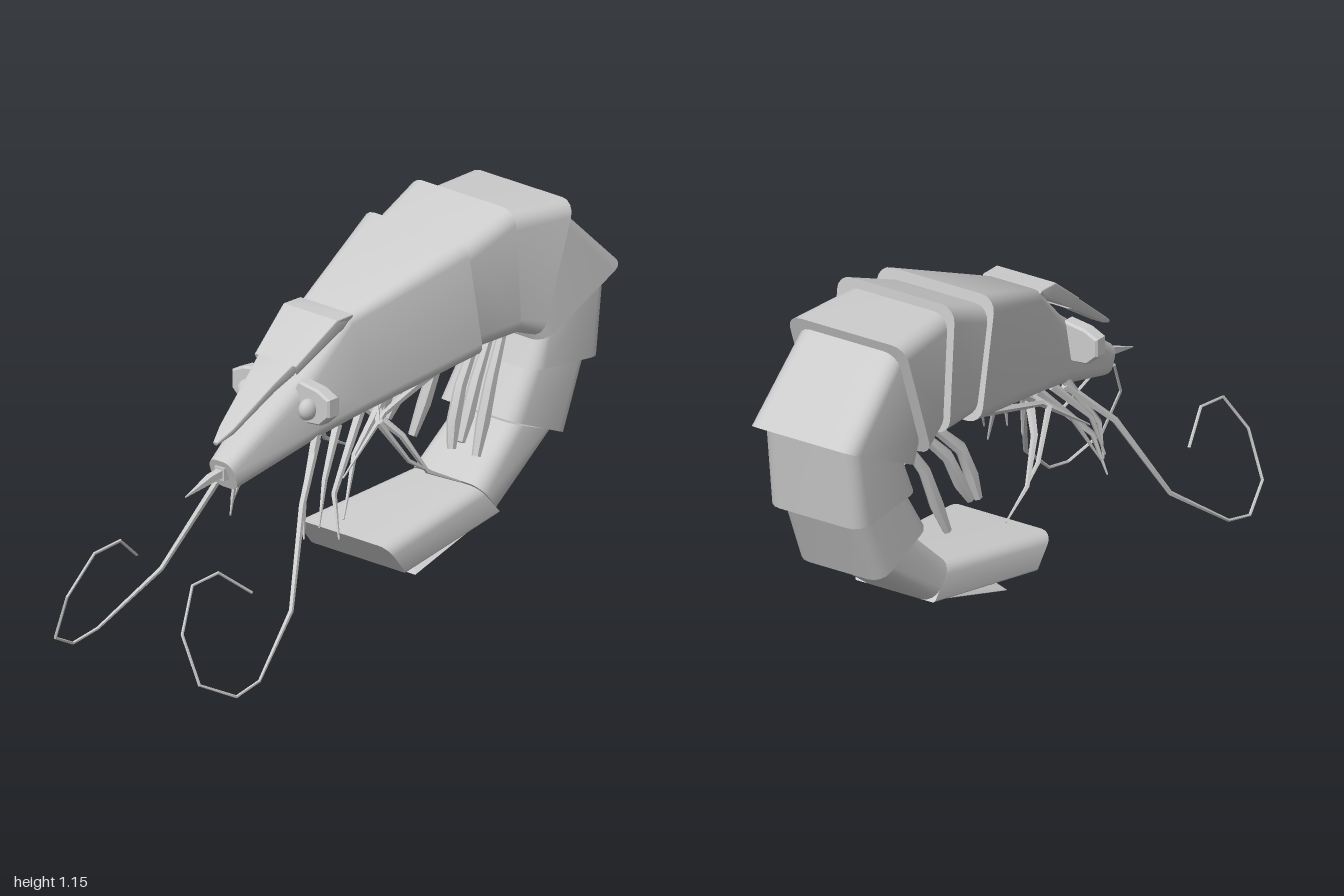
import * as THREE from 'three';
import { toCreasedNormals } from 'three/addons/utils/BufferGeometryUtils.js';

const material = new THREE.MeshStandardMaterial({ color: 0xcccccc, side: THREE.DoubleSide });
const V = (x, y, z) => new THREE.Vector3(x, y, z);

function addMesh(parent, name, geometry) {
  const mesh = new THREE.Mesh(geometry, material);
  mesh.name = name;
  parent.add(mesh);
  return mesh;
}

// Skin a list of equal-length rings and cap both ends.
function loft(rings, crease = 0.6) {
  const n = rings[0].length, pos = [], index = [];
  rings.forEach((r) => r.forEach((p) => pos.push(p.x, p.y, p.z)));
  for (let i = 0; i < rings.length - 1; i++) {
    for (let j = 0; j < n; j++) {
      const a = i * n + j, b = i * n + (j + 1) % n;
      index.push(a, a + n, b, b, a + n, b + n);
    }
  }
  const last = (rings.length - 1) * n;
  for (let j = 1; j < n - 1; j++) {
    index.push(0, j, j + 1, last, last + j + 1, last + j);
  }
  const g = new THREE.BufferGeometry();
  g.setAttribute('position', new THREE.Float32BufferAttribute(pos, 3));
  g.setIndex(index);
  return toCreasedNormals(g, crease);
}

// Rounded cross-section between an outer and an inner [z, y] point.
function section(outer, inner, wOut, wIn = wOut, rOut = 0.05, rIn = 0.05) {
  const h = Math.hypot(outer[0] - inner[0], outer[1] - inner[1]);
  const ring = [];
  const corners = [[1, 0, wIn, rIn], [1, 1, wOut, rOut], [-1, 1, wOut, rOut], [-1, 0, wIn, rIn]];
  corners.forEach(([sx, top, w, r], c) => {
    r = Math.min(r, h * 0.45, w * 0.9);
    for (let k = 0; k <= 4; k++) {
      const a = (c - 1 + k / 4) * Math.PI / 2;
      const x = sx * (w - r) + r * Math.cos(a);
      const s = ((top ? h - r : r) + r * Math.sin(a)) / h;
      ring.push(V(x, inner[1] + (outer[1] - inner[1]) * s, inner[0] + (outer[0] - inner[0]) * s));
    }
  });
  return ring;
}

// Tapered limb along points; each radius is a number or [sideways, fore-aft].
function limb(points, radii, sides = 5) {
  const rings = points.map((p, i) => {
    const d = points[Math.min(i + 1, points.length - 1)].clone()
      .sub(points[Math.max(i - 1, 0)]).normalize();
    const v = V(1, 0, 0).cross(d).normalize();
    const u = d.clone().cross(v);
    const [ru, rv] = [radii[i]].flat().length > 1 ? radii[i] : [radii[i], radii[i]];
    return Array.from({ length: sides }, (_, k) => {
      const a = (k + 0.5) / sides * Math.PI * 2;
      return p.clone().addScaledVector(u, ru * Math.cos(a)).addScaledVector(v, rv * Math.sin(a));
    });
  });
  return loft(rings);
}

export function createModel() {
  const model = new THREE.Group();
  model.name = 'shrimp';

  // Head shell, tapering to the snout
  addMesh(model, 'carapace', loft([
    section([0.58, 0.6], [0.545, 0.505], 0.05, 0.05, 0.035, 0.035),
    section([0.27, 0.82], [0.24, 0.6], 0.09, 0.115),
    section([0.11, 0.965], [0.1, 0.64], 0.11, 0.15, 0.03),
    section([-0.28, 1.115], [-0.355, 0.725], 0.215),
  ]));

  // Overlapping shell rings: front section then back section
  const segments = [
    [[-0.28, 1.08], [-0.355, 0.74], 0.195, [-0.49, 1.16], [-0.52, 0.75], 0.216],
    [[-0.49, 1.13], [-0.51, 0.755], 0.19, [-0.75, 1.12], [-0.61, 0.72], 0.218],
    [[-0.745, 1.09], [-0.62, 0.73], 0.185, [-0.995, 0.855], [-0.64, 0.69], 0.195],
    [[-0.955, 0.84], [-0.66, 0.7], 0.17, [-0.92, 0.57], [-0.615, 0.6], 0.175],
    [[-0.89, 0.57], [-0.63, 0.6], 0.15, [-0.79, 0.35], [-0.54, 0.455], 0.16],
    [[-0.765, 0.36], [-0.575, 0.43], 0.13, [-0.5, 0.175], [-0.41, 0.28], 0.148],
  ];
  segments.forEach(([o1, i1, w1, o2, i2, w2], i) => addMesh(model, `abdomenSegment${i + 1}`,
    loft([section(o1, i1, w1), section(o2, i2, w2)])));

  // Tail fan and the thin plate under it
  addMesh(model, 'tailFan', loft([
    section([-0.5, 0.175], [-0.41, 0.275], 0.147, 0.145, 0.008, 0.04),
    section([-0.035, 0.12], [0.045, 0.22], 0.193, 0.193, 0.008, 0.04),
  ]));
  addMesh(model, 'tailPlate', loft([
    section([-0.5, 0.175], [-0.48, 0.2], 0.125, 0.11, 0.003, 0.003),
    section([-0.125, 0.078], [-0.14, 0.1], 0.148, 0.125, 0.003, 0.003),
  ]));

  // Beak with a barb on each side
  const beak = [
    [0.6, 0.665, 0.008, 0.01], [0.55, 0.7, 0.027, 0.02], [0.4, 0.81, 0.055, 0.03],
    [0.325, 0.862, 0.072, 0.04], [0.335, 0.855, 0.084, 0.035],
    [0.18, 0.967, 0.11, 0.05], [0.11, 0.968, 0.108, 0.03],
  ];
  addMesh(model, 'beak', loft(beak.map(([z, y, w, t]) =>
    section([z, y], [z - t * 0.4, y - t], w, w * 0.9, 0.004, 0.004))));

  // Mouth and its spike
  const mouth = addMesh(model, 'mouth', new THREE.BoxGeometry(0.04, 0.04, 0.04));
  mouth.position.set(0, 0.56, 0.56);
  addMesh(model, 'snoutSpike', limb(
    [V(0, 0.565, 0.54), V(0, 0.555, 0.62), V(0, 0.525, 0.73)], [0.018, 0.016, 0.002], 4));

  // Paired parts, described on the left (+x) and mirrored by s
  const walkingLegs = [
    [[0.09, 0.62, 0.25], [0.14, 0.45, 0.36], [0.15, 0.33, 0.37]],
    [[0.1, 0.63, 0.17], [0.16, 0.5, 0.29], [0.18, 0.365, 0.335]],
    [[0.11, 0.65, 0.08], [0.18, 0.455, 0.27], [0.22, 0.325, 0.29]],
    [[0.12, 0.68, -0.02], [0.17, 0.55, 0.17], [0.215, 0.38, 0.265]],
    [[0.12, 0.7, -0.25], [0.16, 0.64, 0.03], [0.19, 0.5, 0.24]],
    [[0.1, 0.66, 0.05], [0.18, 0.56, -0.03], [0.21, 0.43, -0.11], [0.225, 0.365, -0.24]],
    [[0.1, 0.68, 0.0], [0.17, 0.62, 0.06], [0.2, 0.48, -0.04], [0.215, 0.41, -0.15]],
  ];
  const swimmingLegs = [
    [[0.09, 0.74, -0.46], [0.13, 0.62, -0.34], [0.14, 0.52, -0.3], [0.15, 0.44, -0.28]],
    [[0.09, 0.74, -0.52], [0.13, 0.62, -0.41], [0.14, 0.52, -0.36], [0.15, 0.45, -0.32]],
    [[0.08, 0.74, -0.59], [0.11, 0.6, -0.5], [0.12, 0.47, -0.45], [0.13, 0.375, -0.41]],
  ];
  const feeler = [
    [0.09, 0.6, 0.25], [0.17, 0.45, 0.4], [0.265, 0.18, 0.55], [0.33, 0.03, 0.76],
    [0.334, 0.01, 0.865], [0.295, 0.07, 0.985], [0.235, 0.22, 0.997], [0.2, 0.345, 0.915],
    [0.2, 0.355, 0.8], [0.235, 0.27, 0.69],
  ];
  for (const s of [1, -1]) {
    const side = s > 0 ? 'left' : 'right';
    const path = (pts) => pts.map(([x, y, z]) => V(s * x, y, z));

    walkingLegs.forEach((leg, i) => addMesh(model, `${side}WalkingLeg${i + 1}`,
      limb(path(leg), leg.map((_, k) => 0.016 - 0.013 * k / (leg.length - 1)))));

    swimmingLegs.forEach((leg, i) => addMesh(model, `${side}SwimmingLeg${i + 1}`,
      limb(path(leg), [[0.012, 0.015], [0.018, 0.022], [0.02, 0.026], [0.014, 0.014]], 6)));

    addMesh(model, `${side}Antenna`, limb(path(feeler),
      feeler.map((_, i) => Math.max(0.014 - 0.003 * i, 0.005)), 5));

    // Eye stalk paddle and eyeball
    const outline = [[0.06, 0.77], [0.07, 0.7], [0.11, 0.68], [0.16, 0.685], [0.193, 0.715],
      [0.193, 0.765], [0.15, 0.785], [0.08, 0.795]];
    const shape = new THREE.Shape(outline.map(([x, y]) => new THREE.Vector2(s * x, y)));
    const stalk = addMesh(model, `${side}EyeStalk`, new THREE.ExtrudeGeometry(shape,
      { depth: 0.035, bevelEnabled: true, bevelSize: 0.006, bevelThickness: 0.008, bevelSegments: 1 }));
    stalk.position.z = 0.272;
    const eye = addMesh(model, `${side}Eye`, new THREE.SphereGeometry(0.034, 16, 12));
    eye.scale.set(0.75, 1, 1);
    eye.position.set(s * 0.125, 0.727, 0.325);
  }
  return model;
}
